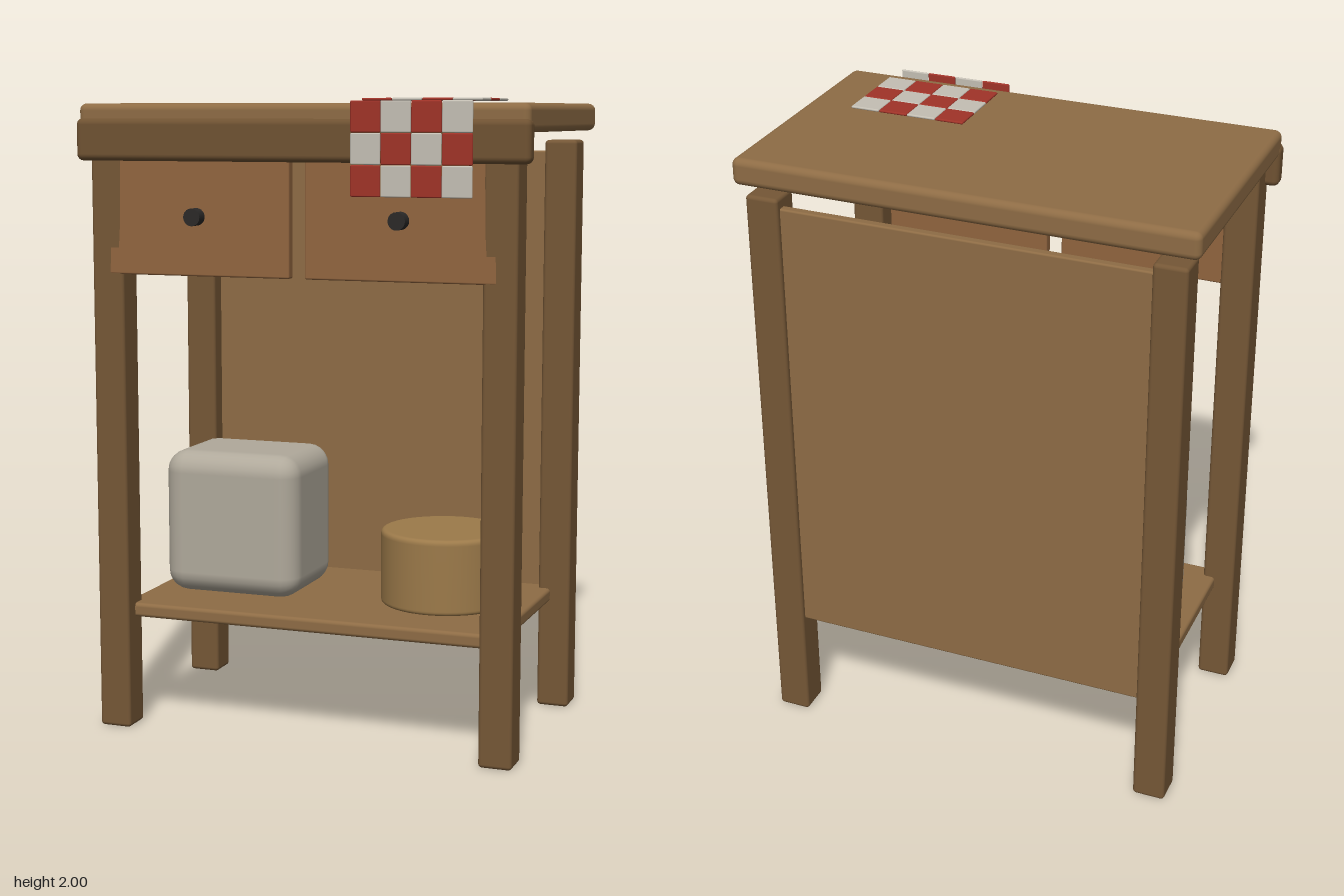
import * as THREE from 'three';
import { RoundedBoxGeometry } from 'three/addons/geometries/RoundedBoxGeometry.js';

const paint = (color) => new THREE.MeshStandardMaterial({ color });
const WOOD = paint(0x8e6c45), LEG = paint(0x755736), RAIL = paint(0x6f5232), DRAWER = paint(0x91653f);
const KNOB = paint(0x2b2928), STONE = paint(0xb0a99b), POT = paint(0x9c7a4a);
const RED = paint(0xa03328), WHITE = paint(0xc4bfb4);

export function createModel() {
  const model = new THREE.Group();
  model.name = 'sideTable';

  const add = (name, geometry, material, parent = model) => {
    const mesh = new THREE.Mesh(geometry, material);
    mesh.name = name;
    parent.add(mesh);
    return mesh;
  };

  // Rounded block given by its lower and upper limits on each axis
  const block = (name, x, y, z, radius, material, parent) => {
    const mesh = add(name, new RoundedBoxGeometry(x[1] - x[0], y[1] - y[0], z[1] - z[0], 3, radius), material, parent);
    mesh.position.set((x[0] + x[1]) / 2, (y[0] + y[1]) / 2, (z[0] + z[1]) / 2);
    return mesh;
  };

  // Top, front rail, shelf and back panel
  block('tableTop', [-0.72, 0.72], [1.9, 1.985], [-0.43, 0.402], 0.022, WOOD);
  block('frontRail', [-0.725, 0.725], [1.81, 1.94], [0.355, 0.415], 0.02, RAIL);
  block('shelf', [-0.62, 0.62], [0.355, 0.4], [-0.37, 0.34], 0.012, WOOD);
  block('backPanel', [-0.6, 0.6], [0.365, 1.835], [-0.4, -0.37], 0.006, WOOD);

  for (const side of [-1, 1]) {
    // Legs
    const legX = [side * 0.6325 - 0.0525, side * 0.6325 + 0.0525];
    block('frontLeg', legX, [0, 1.87], [0.285, 0.39], 0.012, LEG);
    block('backLeg', legX, [0, 1.87], [-0.418, -0.312], 0.012, LEG);

    // Drawer front, leaning very slightly forward at its foot
    const drawer = block('drawerFront', [side * 0.325 - 0.3, side * 0.325 + 0.3],
      [1.46, 1.825], [0.354, 0.389], 0.006, DRAWER);
    drawer.rotation.x = -0.01;

    // Knob
    const knob = add('drawerKnob', new THREE.CylinderGeometry(0.027, 0.027, 0.045, 20), KNOB);
    knob.rotation.x = Math.PI / 2;
    knob.position.set(side * 0.328, 1.642, 0.406);
  }

  // Checked cloth: one sheet lying on the top, one hanging in front
  const pitch = 0.0937;
  const cloth = (name, hanging) => {
    const group = new THREE.Group();
    group.name = name;
    model.add(group);
    for (let row = 0; row < 3; row++) {
      for (let col = 0; col < 4; col++) {
        const tile = add('clothSquare', new RoundedBoxGeometry(0.0925, 0.008, 0.0925, 3, 0.0038),
          (row + col) % 2 ? WHITE : RED, group);
        tile.position.set((col - 1.5) * pitch, 0, (row - 1) * pitch);
      }
    }
    if (hanging) {
      group.rotation.x = Math.PI / 2;
      group.position.set(0.373, 1.852, 0.431);
    } else group.position.set(0.373, 1.996, 0.194);
  };
  cloth('clothOnTop', false);
  cloth('clothHanging', true);

  // Soft-edged box on the shelf
  block('storageBox', [-0.56, -0.097], [0.403, 0.87], [-0.198, 0.174], 0.07, STONE);

  // Round pot with eased rims
  const profile = new THREE.Path();
  profile.moveTo(0, 0);
  profile.lineTo(0.192, 0);
  profile.quadraticCurveTo(0.206, 0, 0.206, 0.014);
  profile.lineTo(0.206, 0.222);
  profile.quadraticCurveTo(0.206, 0.24, 0.188, 0.24);
  profile.lineTo(0, 0.24);
  const pot = add('roundPot', new THREE.LatheGeometry(profile.getPoints(5), 40), POT);
  pot.position.set(0.35, 0.404, -0.013);

  return model;
}
